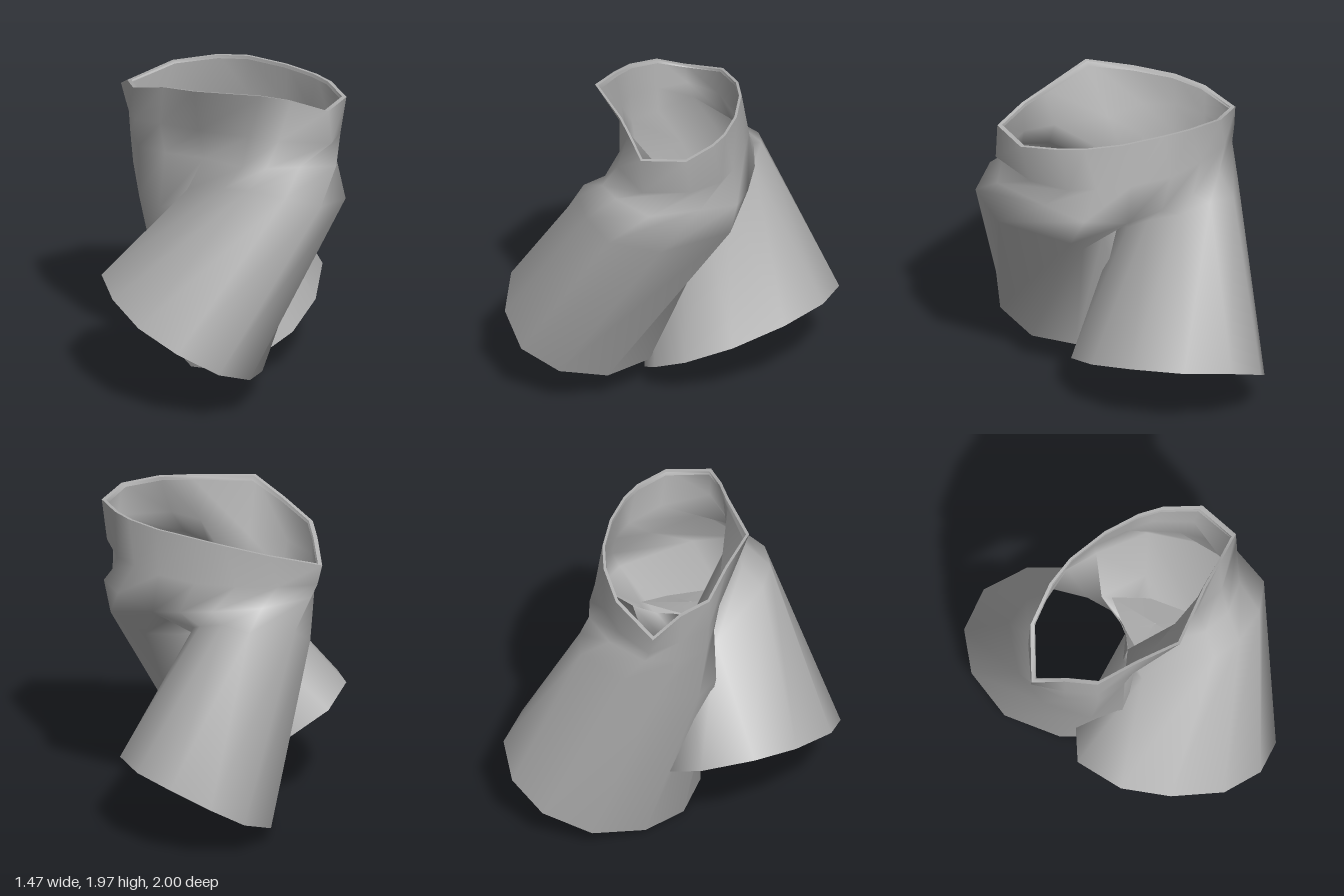
import * as THREE from 'three';
import { mergeGeometries, mergeVertices } from 'three/addons/utils/BufferGeometryUtils.js';

// Joins a stack of equal rings (top to bottom); closed rings run counter-clockwise seen from above.
function loft(rings) {
  const n = rings[0].length, pos = rings.flat(2), index = [];
  for (let r = 0; r < rings.length - 1; r++) {
    for (let i = 0; i < n; i++) {
      const j = (i + 1) % n, a = r * n + i, b = r * n + j, c = a + n, d = b + n;
      index.push(a, c, b, b, c, d);
    }
  }
  const g = new THREE.BufferGeometry();
  g.setAttribute('position', new THREE.Float32BufferAttribute(pos, 3));
  g.setIndex(index);
  return g;
}

const mix = (p, q, t) => p.map((v, k) => v + (q[k] - v) * t);
const mixRing = (a, b, t) => a.map((p, i) => mix(p, b[i], t));
const shrink = (ring, s) => {
  const c = [0, 1, 2].map(k => ring.reduce((sum, p) => sum + p[k], 0) / ring.length);
  return ring.map(p => mix(c, p, s));
};

// Waist opening, starting at the front centre fold
const waist = [
  [-0.2, 1.97, 0.43], [0.2, 1.95, 0.49], [0.38, 1.93, 0.53], [0.6, 1.87, 0.57], [0.73, 1.86, 0.33],
  [0.66, 1.87, 0.1], [0.58, 1.87, -0.03], [0.42, 1.87, -0.2], [0.2, 1.87, -0.36], [0.02, 1.85, -0.44],
  [-0.25, 1.8, -0.49], [-0.57, 1.7, -0.4], [-0.55, 1.8, -0.2], [-0.53, 1.83, 0], [-0.37, 1.91, 0.2]];
// Middle of the waistband, pushed in at the front fold
const band = [
  [-0.16, 1.64, 0.25], [0.13, 1.67, 0.45], [0.3, 1.68, 0.56], [0.62, 1.66, 0.57], [0.7, 1.62, 0.28],
  [0.65, 1.6, 0.04], [0.55, 1.6, -0.1], [0.41, 1.6, -0.26], [0.2, 1.6, -0.41], [-0.05, 1.6, -0.47],
  [-0.3, 1.6, -0.49], [-0.54, 1.58, -0.41], [-0.54, 1.6, -0.2], [-0.52, 1.62, 0], [-0.38, 1.65, 0.14]];
// Hip line where the legs begin
const hip = [
  [-0.11, 1.39, 0.08], [0.08, 1.5, 0.52], [0.22, 1.53, 0.62], [0.42, 1.54, 0.64], [0.65, 1.5, 0.54],
  [0.67, 1.46, 0.2], [0.65, 1.41, -0.07], [0.45, 1.36, -0.26], [0.29, 1.41, -0.4], [0.1, 1.45, -0.5],
  [-0.2, 1.47, -0.51], [-0.5, 1.5, -0.42], [-0.53, 1.45, -0.2], [-0.5, 1.45, 0], [-0.35, 1.45, 0.12]];
// Crotch seam from back to front
const crotch = [[0.19, 1.36, -0.16], [0.11, 1.32, -0.04], [0, 1.36, 0.04]];

// Front leg rings
const frontTop = [...hip.slice(0, 8), ...crotch];
const frontThigh = [
  [-0.22, 1.24, 0.2], [-0.04, 1.4, 0.6], [0.1, 1.43, 0.72], [0.32, 1.4, 0.79], [0.54, 1.33, 0.76],
  [0.71, 1.27, 0.5], [0.69, 1.26, 0], [0.48, 1.1, 0.04], [0.28, 1.1, 0.02], [0.1, 1.12, 0.02],
  [-0.1, 1.15, 0.05]];
const frontHem = [
  [-0.74, 0.7, 0.2], [-0.7, 0.66, 0.5], [-0.57, 0.59, 0.8], [-0.35, 0.48, 0.97], [-0.1, 0.35, 1],
  [0.1, 0.25, 0.85], [0.2, 0.19, 0.57], [0.18, 0.21, 0.27], [0, 0.3, 0], [-0.32, 0.46, -0.19],
  [-0.62, 0.64, -0.1]];

// Back leg rings
const backTop = [...hip.slice(7), hip[0], ...[...crotch].reverse()];
const backThigh = [
  [0.2, 1.25, -0.25], [0.17, 1.34, -0.46], [0.04, 1.4, -0.59], [-0.12, 1.37, -0.66], [-0.4, 1.32, -0.52],
  [-0.5, 1.2, -0.35], [-0.49, 1.1, -0.05], [-0.38, 1.1, 0.12], [-0.2, 1.15, 0.15], [-0.02, 1.1, 0.09],
  [0.11, 1.1, 0.01], [0.19, 1.15, -0.1]];
const backHem = [
  [0.65, 0.48, -0.4], [0.56, 0.5, -0.72], [0.37, 0.47, -0.94], [0.13, 0.36, -1], [-0.08, 0.22, -0.9],
  [-0.25, 0.1, -0.65], [-0.27, 0.02, -0.3], [-0.18, 0, 0], [0, 0.05, 0.2], [0.22, 0.17, 0.26],
  [0.42, 0.27, 0.16], [0.58, 0.38, -0.08]];

// Crumpled cloth inside, above the crotch seam
const fold = [
  [-0.1, 1.37, 0.14], [0.05, 1.3, 0.48], [0.25, 1.24, 0.48], [0.28, 1.28, 0.12], [0.2, 1.36, -0.1],
  [0.02, 1.37, 0.03]];

export function createModel() {
  const group = new THREE.Group();
  const cloth = new THREE.MeshStandardMaterial({ color: 0xb0b0b0, side: THREE.DoubleSide });
  cloth.name = 'grey cloth';

  const add = (name, geometry) => {
    geometry.computeVertexNormals();
    const mesh = new THREE.Mesh(geometry, cloth);
    mesh.name = name;
    group.add(mesh);
  };

  // Waist and both legs, welded so the cloth flows smoothly between them
  const body = mergeGeometries([
    loft([waist, band, hip]),
    loft([frontTop, frontThigh, frontHem]),
    loft([backTop, backThigh, backHem])]);
  add('shorts', mergeVertices(body, 1e-4));
  add('crotchFold', loft([fold, shrink(fold, 0.02)]));

  // Folded edges with a short turned-in strip, giving the cloth thickness
  const edge = (name, rim, inside) => {
    const inner = shrink(rim, 0.96);
    add(name + 'Rim', loft([rim, inner]));
    add(name + 'Facing', loft([inner, shrink(mixRing(rim, inside, 0.08), 0.95)]));
  };
  edge('waist', waist, band);
  edge('frontLegHem', frontHem, frontThigh);
  edge('backLegHem', backHem, backThigh);

  return group;
}
